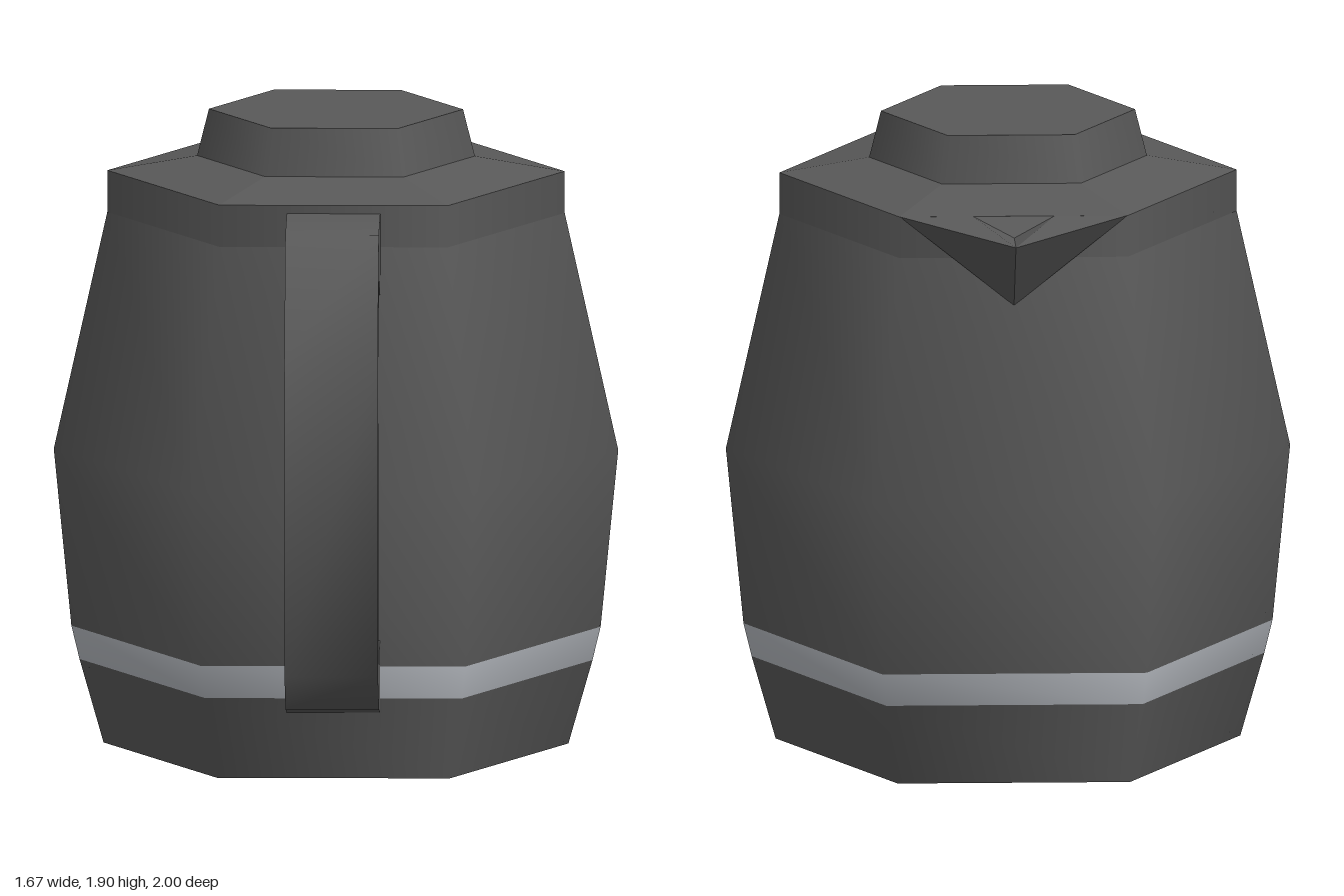
import * as THREE from 'three';
import { toCreasedNormals } from 'three/addons/utils/BufferGeometryUtils.js';

const SIDES = 6, CENTRE_Z = -0.197;

export function createModel() {
  const group = new THREE.Group();
  const plastic = new THREE.MeshStandardMaterial({ color: 0x595959 });
  plastic.name = 'darkGreyPlastic';
  const silver = new THREE.MeshStandardMaterial({ color: 0xb4b8be });
  silver.name = 'silverBand';

  const add = (name, geometry, material = plastic, z = 0) => {
    const mesh = new THREE.Mesh(geometry, material);
    mesh.name = name;
    mesh.position.z = z;
    group.add(mesh);
    return mesh;
  };

  // Hexagonal ring surface from [radius, height] pairs, corners on the x axis
  const hexLathe = (profile) => new THREE.LatheGeometry(
    profile.map(([r, y]) => new THREE.Vector2(r, y)), SIDES, Math.PI / 6);
  const hexDisc = (radius, y, up) => new THREE.CircleGeometry(radius, SIDES)
    .rotateX(up ? -Math.PI / 2 : Math.PI / 2).translate(0, y, 0);

  // Body: smooth hexagonal barrel with a silver band as its second ring
  const bodyProfile = [[0.686, 0], [0.757, 0.25], [0.781, 0.35], [0.833, 0.88], [0.675, 1.59]];
  const body = hexLathe(bodyProfile);
  const rings = bodyProfile.length - 1;
  for (let i = 0; i < SIDES; i++) {
    for (let j = 0; j < rings; j++) body.addGroup((i * rings + j) * 6, 6, j === 1 ? 1 : 0);
  }
  add('body', body, [plastic, silver], CENTRE_Z);
  add('base', hexDisc(0.686, 0, false), plastic, CENTRE_Z);

  // Collar, sloping lid and raised knob
  add('collar', hexLathe([[0.675, 1.59], [0.675, 1.715]]), plastic, CENTRE_Z);
  add('lid', toCreasedNormals(hexLathe([[0.675, 1.715], [0.41, 1.76]]), 0.1), plastic, CENTRE_Z);
  add('knobSide', hexLathe([[0.41, 1.76], [0.375, 1.9]]), plastic, CENTRE_Z);
  add('knobTop', hexDisc(0.375, 1.9, true), plastic, CENTRE_Z);

  // Spout: pointed wedge with a small pouring notch on top
  const corner = [0.337, 1.715, -0.78], notch = [0.12, 1.715, -0.782];
  const tip = [0, 1.67, -1], low = [0, 1.45, -0.807], valley = [0, 1.66, -0.83];
  const half = [
    [corner, tip, notch],
    [notch, tip, valley],
    [corner, low, tip],
  ];
  const mirror = ([x, y, z]) => [-x, y, z];
  const faces = [...half, ...half.map(([a, b, c]) => [a, c, b].map(mirror)),
    [notch, valley, mirror(notch)]];
  const spout = new THREE.BufferGeometry();
  spout.setAttribute('position', new THREE.Float32BufferAttribute(faces.flat(2), 3));
  spout.computeVertexNormals();
  const spoutMaterial = plastic;
  spoutMaterial.side = THREE.DoubleSide;
  add('spout', spout, spoutMaterial);

  // Handle: angular loop outlined in (z, y), extruded across x
  const outline = [
    [0.34, 1.69], [0.745, 1.69], [1, 1.36], [0.945, 0.4], [0.7, 0.26], [0.42, 0.2],
    [0.42, 0.45], [0.635, 0.38], [0.835, 0.49], [0.895, 1.335], [0.69, 1.55], [0.34, 1.425],
  ].map(([z, y]) => new THREE.Vector2(z, y));
  const handle = new THREE.ExtrudeGeometry(new THREE.Shape(outline), { depth: 0.276, bevelEnabled: false })
    .rotateY(-Math.PI / 2).translate(0.138, 0, 0);
  add('handle', toCreasedNormals(handle, 1.05));

  return group;
}
